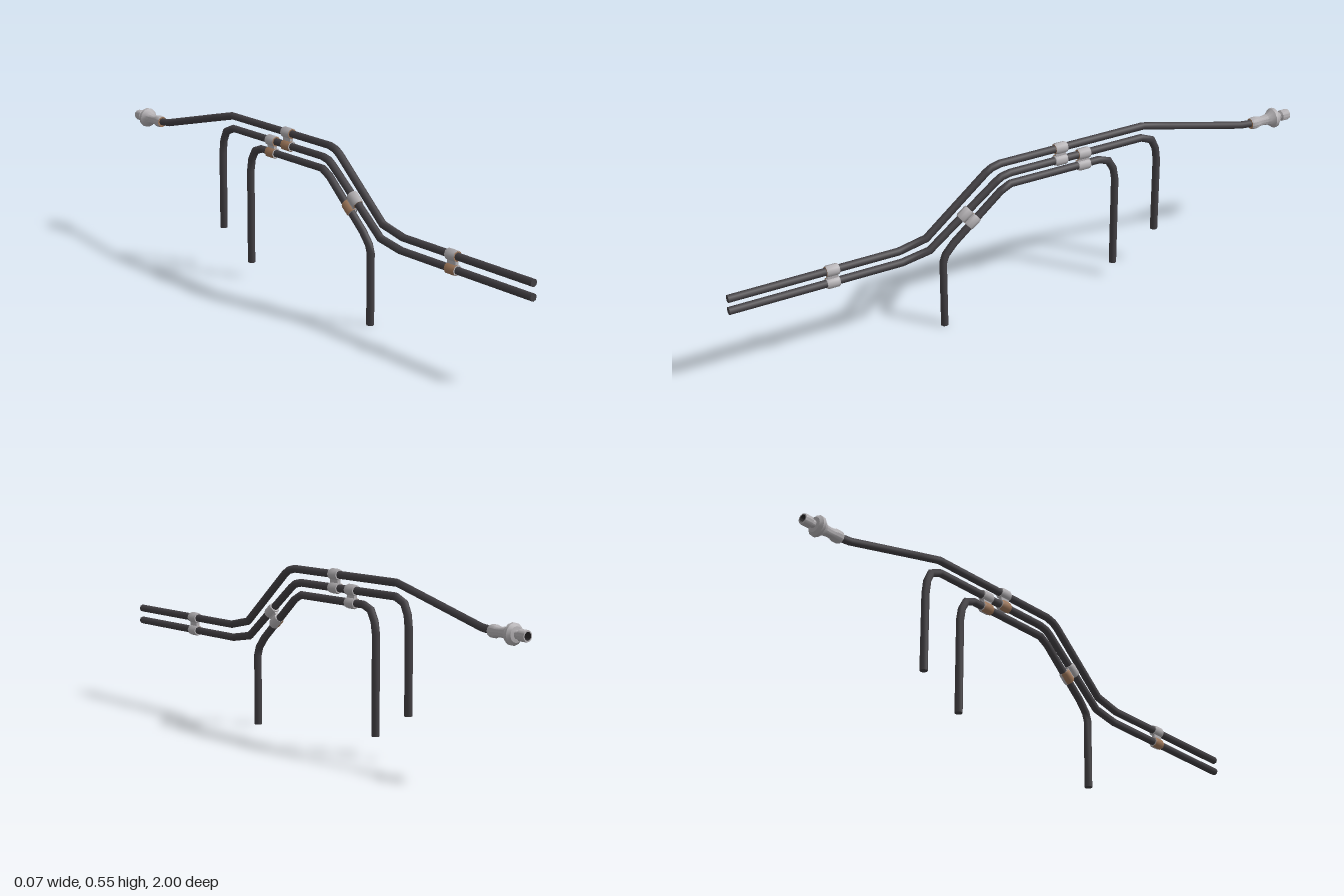
import * as THREE from 'three';
import { toCreasedNormals } from 'three/addons/utils/BufferGeometryUtils.js';

const SIDES = 8;
const TUBE_R = 0.0125;

// Mitred tube along a path of [z, y] points lying in the plane x = 0
function tubeGeometry(path) {
  const pts = path.map(([z, y]) => new THREE.Vector3(0, y, z));
  const pos = [], index = [];
  const last = pts.length - 1;
  const rings = pts.map((p, i) => {
    const d0 = p.clone().sub(pts[Math.max(i - 1, 0)]).normalize();
    const d1 = pts[Math.min(i + 1, last)].clone().sub(p).normalize();
    const t = d0.clone().add(d1).normalize();
    const mitre = 1 / (i === 0 ? 1 : t.dot(d0));
    const ring = [];
    for (let j = 0; j < SIDES; j++) {
      const a = (j / SIDES) * Math.PI * 2;
      const s = Math.sin(a) * TUBE_R * mitre;
      ring.push([Math.cos(a) * TUBE_R, p.y + t.z * s, p.z - t.y * s]);
    }
    return ring;
  });
  rings.forEach((r) => r.forEach((v) => pos.push(...v)));
  for (let i = 0; i < last; i++) {
    for (let j = 0; j < SIDES; j++) {
      const a = i * SIDES + j, b = i * SIDES + ((j + 1) % SIDES);
      index.push(a, b, a + SIDES, b, b + SIDES, a + SIDES);
    }
  }
  // flat end caps with their own vertices
  [0, last].forEach((i) => {
    const base = pos.length / 3;
    rings[i].forEach((v) => pos.push(...v));
    for (let j = 1; j < SIDES - 1; j++) {
      if (i) index.push(base, base + j, base + j + 1);
      else index.push(base, base + j + 1, base + j);
    }
  });
  const g = new THREE.BufferGeometry();
  g.setAttribute('position', new THREE.Float32BufferAttribute(pos, 3));
  g.setIndex(index);
  g.computeVertexNormals();
  return g;
}

// Lathe of [radius, height] pairs, turned so its axis runs along +z
function latheZ(profile, sides, start = 0, length = Math.PI * 2, crease = 0.9) {
  const pts = profile.map(([r, h]) => new THREE.Vector2(r, h));
  return toCreasedNormals(new THREE.LatheGeometry(pts, sides, start, length), crease).rotateX(Math.PI / 2);
}

export function createModel() {
  const rubber = new THREE.MeshStandardMaterial({ name: 'darkRubber', color: 0x434044 });
  const steel = new THREE.MeshStandardMaterial({ name: 'paleSteel', color: 0xb4b1b4 });
  const copper = new THREE.MeshStandardMaterial({ name: 'copper', color: 0xa27a5c });
  const bore = new THREE.MeshStandardMaterial({ name: 'darkBore', color: 0x2a282a });

  const model = new THREE.Group();
  model.name = 'pipeAssembly';
  const add = (parent, name, geometry, material) => {
    const m = new THREE.Mesh(geometry, material);
    m.name = name;
    parent.add(m);
    return m;
  };

  // three bent pipes, stacked one under another
  const pipes = {
    upperPipe: [[1, 0.321], [0.44, 0.321], [0.345, 0.341], [0.135, 0.518], [0.115, 0.53], [0.085, 0.537],
      [-0.43, 0.537], [-0.52, 0.515], [-0.81, 0.443], [-0.87, 0.437]],
    middlePipe: [[1, 0.278], [0.43, 0.278], [0.335, 0.294], [0.1, 0.477], [0.08, 0.489], [0.05, 0.495],
      [-0.425, 0.495], [-0.465, 0.478], [-0.481, 0.445], [-0.487, 0.4], [-0.487, 0.14]],
    lowerPipe: [[0.289, 0.003], [0.289, 0.235], [0.28, 0.262], [0.25, 0.297], [0.085, 0.438], [0.05, 0.456],
      [-0.27, 0.456], [-0.305, 0.443], [-0.324, 0.41], [-0.331, 0.37], [-0.331, 0.055]],
  };
  for (const [name, path] of Object.entries(pipes)) add(model, name, tubeGeometry(path), rubber);

  // clamp pairs: two collars joined by a small web
  const shell = [[0.0165, -0.021], [0.0185, -0.015], [0.0185, 0.015], [0.0165, 0.021]];
  const backCap = [[0.012, -0.021], [0.0165, -0.021]];
  const frontCap = [[0.0165, 0.021], [0.012, 0.021]];
  function clamp(z, y, gap, tilt = 0) {
    const group = new THREE.Group();
    group.name = 'doubleClamp';
    [1, -1].forEach((side) => {
      const collar = new THREE.Group();
      collar.name = side > 0 ? 'upperCollar' : 'lowerCollar';
      collar.position.y = side * gap / 2;
      add(collar, 'collarLeftHalf', latheZ(shell, 4, 0, Math.PI), steel);
      add(collar, 'collarRightHalf', latheZ(shell, 4, Math.PI, Math.PI), side > 0 ? steel : copper);
      add(collar, 'collarBack', latheZ(backCap, SIDES), steel);
      add(collar, 'collarFront', latheZ(frontCap, SIDES), side > 0 ? copper : steel);
      group.add(collar);
    });
    add(group, 'clampWeb', new THREE.BoxGeometry(0.012, 0.016, 0.036), steel);
    group.position.set(0, y, z);
    group.rotation.x = tilt;
    model.add(group);
  }
  clamp(0.663, 0.2995, 0.043);
  clamp(-0.128, 0.516, 0.042);
  clamp(-0.212, 0.4755, 0.04);
  clamp(0.197, 0.374, 0.041, 0.68);

  // end fitting: sleeve, flared flange, neck and hollow tip
  const fitting = new THREE.Group();
  fitting.name = 'endFitting';
  fitting.position.y = 0.438;
  model.add(fitting);
  const body = [[0.0125, -1], [0.0165, -1], [0.018, -0.995], [0.018, -0.972], [0.0125, -0.967], [0.0125, -0.957],
    [0.024, -0.955], [0.033, -0.946], [0.033, -0.936], [0.026, -0.928], [0.018, -0.915], [0.0155, -0.895],
    [0.017, -0.88], [0.02, -0.873], [0.02, -0.856], [0.018, -0.85]];
  add(fitting, 'fittingBody', latheZ(body, 12, 0, Math.PI * 2, 0.6), steel);
  add(fitting, 'sleeveRim', latheZ([[0.018, -0.85], [0.011, -0.85]], 12), copper);
  add(fitting, 'tipBore', latheZ([[0.0001, -0.975], [0.0125, -0.975], [0.0125, -1]], 12), bore);

  return model;
}
